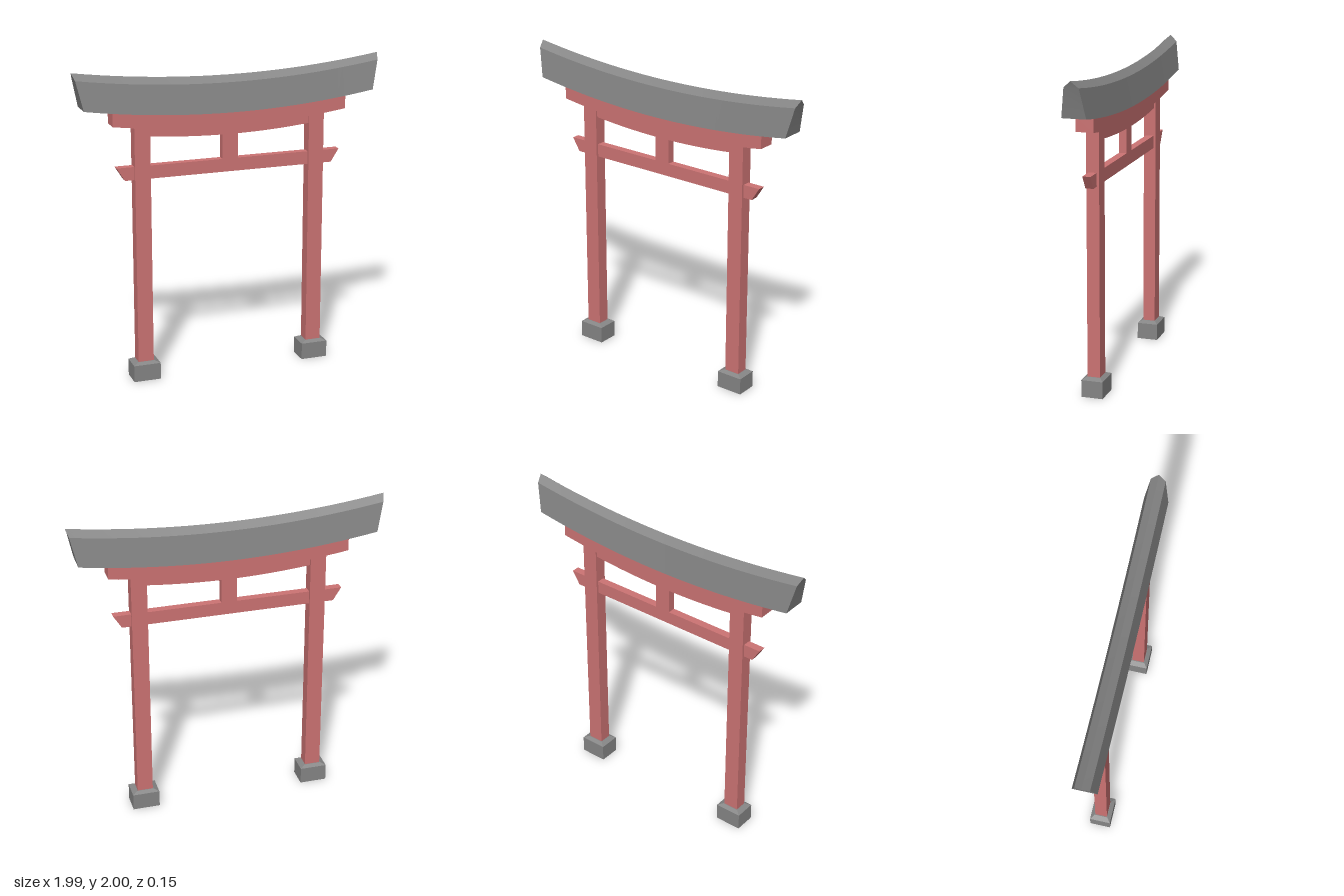
import * as THREE from 'three';
import { toCreasedNormals } from 'three/addons/utils/BufferGeometryUtils.js';

const stone = new THREE.MeshStandardMaterial({ color: 0x858585 });
const redWood = new THREE.MeshStandardMaterial({ color: 0xcc7373 });

// Beam along x, symmetric in x and z. Rows run from top to bottom:
// [half depth, height at the middle, half length, rise at the ends].
function beamGeometry(rows, steps = 1) {
  const positions = [];
  const triangle = (a, b, c) => {
    if (a.equals(b) || b.equals(c) || a.equals(c)) return;
    for (const p of [a, b, c]) positions.push(p.x, p.y, p.z);
  };
  const quad = (a, b, c, d) => { triangle(a, b, c); triangle(a, c, d); };
  const point = ([depth, y, half, rise = 0], t, side) =>
    new THREE.Vector3(t * half, y + rise * t * t, side * depth);

  // closed outline: down the front, up the back
  const outline = [...rows.map(r => [r, 1]), ...[...rows].reverse().map(r => [r, -1])];
  for (let s = 0; s < steps; s++) {
    const t0 = -1 + 2 * s / steps, t1 = -1 + 2 * (s + 1) / steps;
    outline.forEach(([row, side], i) => {
      const [nextRow, nextSide] = outline[(i + 1) % outline.length];
      quad(point(row, t0, side), point(nextRow, t0, nextSide),
        point(nextRow, t1, nextSide), point(row, t1, side));
    });
  }
  // end faces, one strip between each pair of rows
  for (let i = 0; i < rows.length - 1; i++) {
    for (const end of [1, -1]) {
      quad(point(rows[i], end, end), point(rows[i + 1], end, end),
        point(rows[i + 1], end, -end), point(rows[i], end, -end));
    }
  }
  const geometry = new THREE.BufferGeometry();
  geometry.setAttribute('position', new THREE.Float32BufferAttribute(positions, 3));
  return toCreasedNormals(geometry, 0.2);
}

export function createModel() {
  const model = new THREE.Group();
  model.name = 'gate';
  const add = (name, geometry, material, x = 0, y = 0) => {
    const mesh = new THREE.Mesh(geometry, material);
    mesh.name = name;
    mesh.position.set(x, y, 0);
    model.add(mesh);
  };

  // curved roof with a pointed ridge and flared ends
  add('roof', beamGeometry([
    [0, 1.925, 0.993, 0.075],
    [0.045, 1.885, 0.978, 0.075],
    [0.075, 1.702, 0.937, 0.075],
  ], 24), stone);

  // curved lintel under the roof
  add('upperLintel', beamGeometry([
    [0.055, 1.704, 0.758, 0.05],
    [0.055, 1.61, 0.758, 0.055],
  ], 24), redWood);

  // thinner curved beam between the posts
  add('lowerLintel', beamGeometry([
    [0.028, 1.615, 0.525, 0.026],
    [0.028, 1.555, 0.525, 0.028],
  ], 16), redWood);

  // straight tie beam with slanted ends, and the short strut above it
  add('tieBeam', beamGeometry([
    [0.025, 1.398, 0.732],
    [0.025, 1.315, 0.68],
  ]), redWood);
  add('centreStrut', new THREE.BoxGeometry(0.1, 0.18, 0.05), redWood, 0, 1.48);

  // posts on bevelled footings
  for (const [side, sign] of [['left', 1], ['right', -1]]) {
    add(side + 'Post', new THREE.BoxGeometry(0.1, 1.54, 0.08), redWood, sign * 0.57, 0.88);
    add(side + 'Footing', beamGeometry([
      [0.044, 0.122, 0.055],
      [0.068, 0.108, 0.087],
      [0.068, 0, 0.087],
    ]), stone, sign * 0.57);
  }
  return model;
}
